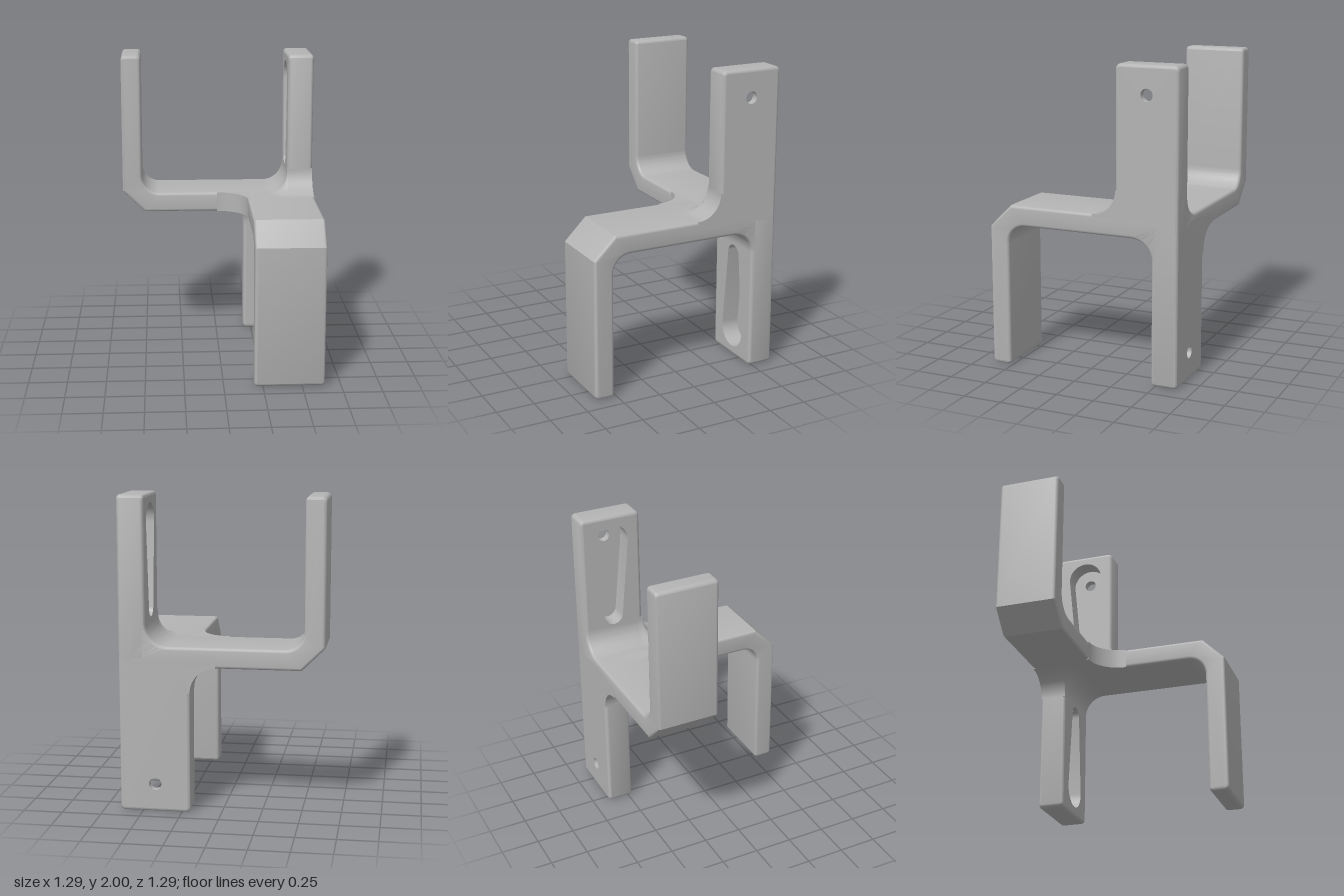
import * as THREE from 'three';
import { toCreasedNormals } from 'three/addons/utils/BufferGeometryUtils.js';
import { ParametricGeometry } from 'three/addons/geometries/ParametricGeometry.js';

const PI = Math.PI;
const E = 0.645;                    // half extent in x and z
const Y0 = 0.935, Y1 = 1.065;       // floor slab
const XI = 0.475;                   // inner face of the mounting plate
const B = 0.02;                     // edge rounding
const R_IN = 0.14, R_SIDE = 0.16;   // fillet radii at the mounting plate
const SLOT_DEPTH = 0.12, HOLE_R = 0.04, HOLE_Y = 1.82;

const grey = new THREE.MeshStandardMaterial({ color: 0xb4b4b4, side: THREE.DoubleSide });
grey.name = 'grey plastic';

function add(group, name, geometry) {
  const mesh = new THREE.Mesh(geometry, grey);
  mesh.name = name;
  group.add(mesh);
  return mesh;
}

// Extrusion with rounded edges that keeps the outline and total depth exact
function extrude(shape, depth, bevel) {
  const g = new THREE.ExtrudeGeometry(shape, {
    depth: depth - 2 * bevel, curveSegments: 12, bevelEnabled: bevel > 0,
    bevelThickness: bevel, bevelSize: bevel, bevelOffset: -bevel, bevelSegments: 4,
  });
  return g.translate(0, 0, bevel);
}

// Only the side walls of an extrusion, without its end caps
function walls(shape, depth, bevel) {
  const g = extrude(shape, depth, bevel);
  const { start, count } = g.groups[1];
  const out = new THREE.BufferGeometry();
  const part = g.attributes.position.array.slice(start * 3, (start + count) * 3);
  out.setAttribute('position', new THREE.BufferAttribute(part, 3));
  out.computeVertexNormals();
  return toCreasedNormals(out, 0.6);
}

function roundedRect(x0, y0, x1, y1, r) {
  const s = new THREE.Shape();
  s.absarc(x1 - r, y1 - r, r, 0, PI / 2);
  s.absarc(x0 + r, y1 - r, r, PI / 2, PI);
  s.absarc(x0 + r, y0 + r, r, PI, 1.5 * PI);
  s.absarc(x1 - r, y0 + r, r, 1.5 * PI, 2 * PI);
  s.closePath();
  return s;
}

// Keyhole slot: wide round end at the screw hole, narrow end toward the floor
function slotShape(cx) {
  const r1 = 0.12, r2 = 0.065, y2 = 1.285;
  const a = Math.asin((r1 - r2) / (HOLE_Y - y2));
  const s = new THREE.Shape();
  s.absarc(cx, HOLE_Y, r1, -a, PI + a);
  s.absarc(cx, y2, r2, PI + a, 2 * PI - a);
  s.closePath();
  return s;
}

// Plain arm, floor and inner fillets as one profile
function armProfile() {
  const s = new THREE.Shape();
  s.moveTo(-E, 1.97);
  s.lineTo(-E, 1.08);
  s.lineTo(-0.5, Y0);
  s.lineTo(0.6, Y0);
  s.lineTo(0.6, Y1 + R_IN);
  s.lineTo(XI, Y1 + R_IN);
  s.absarc(XI - R_IN, Y1 + R_IN, R_IN, 0, -PI / 2, true);
  s.absarc(-0.395, Y1 + 0.12, 0.12, -PI / 2, -PI, true);
  s.absarc(-0.54, 1.975, 0.025, 0, PI / 2);
  s.absarc(-E + 0.03, 1.97, 0.03, PI / 2, PI);
  return s;
}

// One U-shaped bracket: plain arm at -x, slotted mounting plate at +x
function bracket(width, names) {
  const g = new THREE.Group();
  const zF = -E + width;            // front side of the bracket
  const s0 = -zF, mid = (s0 + E) / 2;

  add(g, names.arm, toCreasedNormals(extrude(armProfile(), width, B).translate(0, 0, -E), 0.6));

  // Mounting plate, drawn in (-z, y) and turned to run along x
  const plate = new THREE.Group();
  plate.name = names.plate;
  plate.rotation.y = PI / 2;
  plate.position.x = XI;
  g.add(plate);
  const thick = E - XI;
  const hole = new THREE.Path().absarc(mid, HOLE_Y, HOLE_R, 0, 2 * PI);
  const face = () => roundedRect(s0 + B, 0.96 + B, E - B, 2 - B, 0.01);
  add(plate, 'plateEdges', walls(roundedRect(s0, 0.96, E, 2, 0.03), thick, B));

  const inner = face();
  inner.holes.push(new THREE.Path(slotShape(mid).getPoints(16)));
  const innerGeo = new THREE.ShapeGeometry(inner, 16);
  add(plate, 'plateInnerFace', innerGeo.rotateY(PI).scale(-1, 1, 1)).scale.z = -1;

  const outer = face();
  outer.holes.push(hole);
  add(plate, 'plateOuterFace', new THREE.ShapeGeometry(outer, 16)).position.z = thick;

  add(plate, 'slotWalls', walls(slotShape(mid), SLOT_DEPTH, 0));
  const floor = slotShape(mid);
  floor.holes.push(hole);
  add(plate, 'slotFloor', new THREE.ShapeGeometry(floor, 16)).position.z = SLOT_DEPTH;
  const bore = new THREE.CylinderGeometry(HOLE_R, HOLE_R, thick - SLOT_DEPTH, 24, 1, true);
  add(plate, 'screwHole', bore.rotateX(PI / 2)).position.set(mid, HOLE_Y, (thick + SLOT_DEPTH) / 2);

  // Fillet between the plate's front edge and the floor
  const f = new THREE.Shape();
  f.moveTo(s0 + 0.05, 1);
  f.lineTo(s0 + 0.05, Y1 + R_SIDE);
  f.lineTo(s0, Y1 + R_SIDE);
  f.absarc(s0 - R_SIDE, Y1 + R_SIDE, R_SIDE, 0, -PI / 2, true);
  f.lineTo(s0 - R_SIDE, 1);
  f.closePath();
  add(plate, 'sideFillet', toCreasedNormals(extrude(f, thick, 0), 0.6));

  // Fillet sweeping around the plate's corner, joining the two straight ones
  add(g, 'cornerFillet', new ParametricGeometry((u, v, p) => {
    const k = Math.max(0, (u - 0.1) / 0.9), phi = k * PI / 2, t = v * PI / 2;
    const r = THREE.MathUtils.lerp(R_IN, R_SIDE, k);
    const d = r * (1 - Math.cos(t));
    p.set(XI - d * Math.cos(phi), Y1 + r * (1 - Math.sin(t)),
      zF + d * Math.sin(phi) - 0.03 * Math.max(0, 1 - u * 10));
  }, 20, 12));
  return g;
}

export function createModel() {
  const model = new THREE.Group();
  model.name = 'doubleBracket';

  const upper = bracket(0.41, { arm: 'leftArmAndFloor', plate: 'uprightPlate' });
  upper.name = 'upperBracket';
  model.add(upper);

  // Same bracket, turned upside down and crosswise
  const lower = bracket(0.45, { arm: 'frontLegAndFloor', plate: 'backLegPlate' });
  lower.name = 'lowerBracket';
  lower.quaternion.setFromAxisAngle(new THREE.Vector3(1, 0, -1).normalize(), PI);
  lower.position.y = 2;
  model.add(lower);

  // Rounded inside corner of the L-shaped floor
  const c = new THREE.Shape();
  c.moveTo(-0.005, 0.285);
  c.lineTo(-0.005, 0.235);
  c.absarc(-0.005, 0.035, 0.2, PI / 2, 0, true);
  c.lineTo(0.245, 0.035);
  c.lineTo(0.245, 0.285);
  c.closePath();
  const web = toCreasedNormals(extrude(c, Y1 - Y0, 0), 0.6);
  add(model, 'floorCorner', web.rotateX(-PI / 2)).position.y = Y0;
  return model;
}
